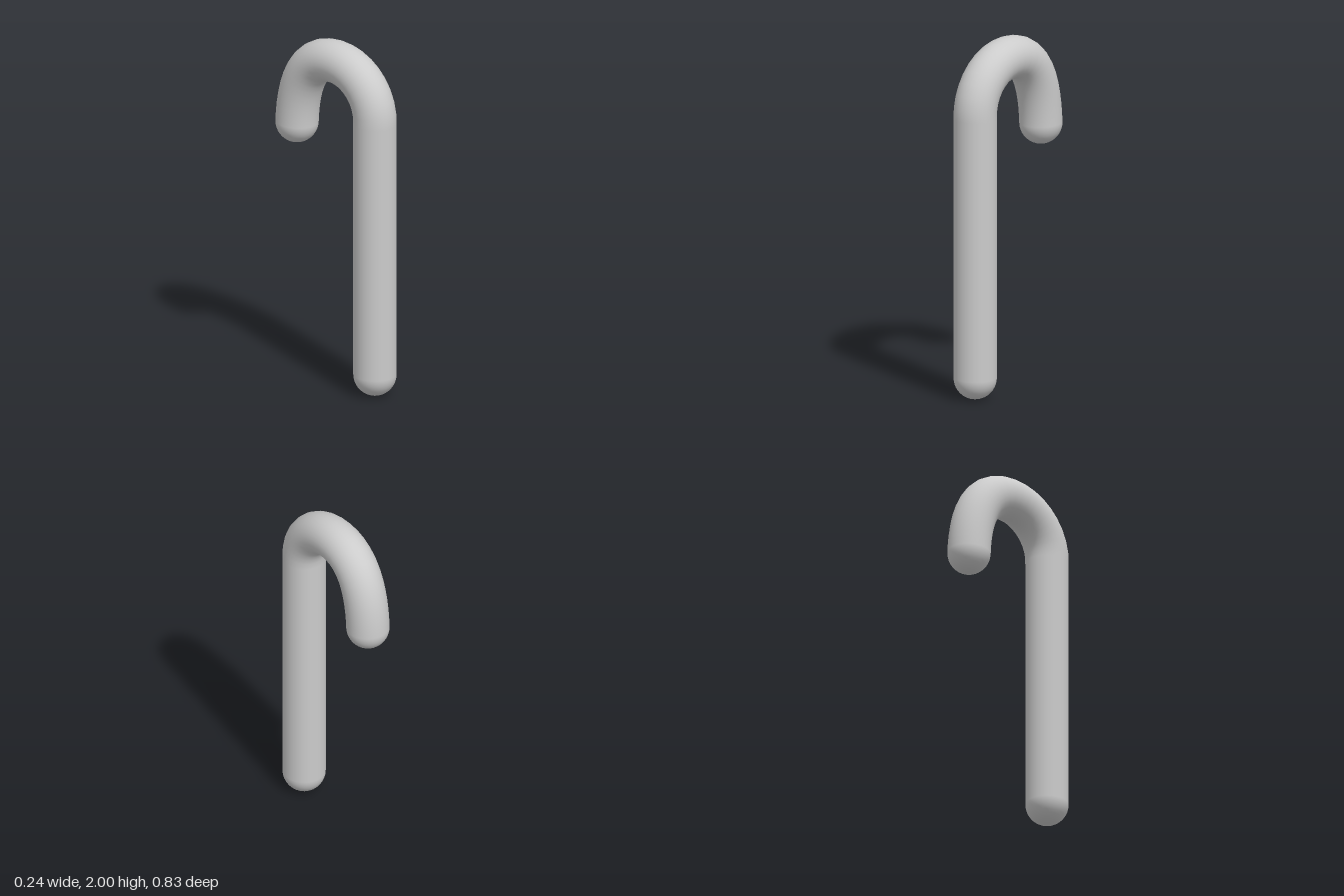
import * as THREE from 'three';

const R = 0.12;      // cane radius
const SIDES = 32;

export function createModel() {
  const group = new THREE.Group();
  group.name = 'cane';
  const material = new THREE.MeshStandardMaterial({ color: 0xcccccc });
  const p = (z, y) => new THREE.Vector3(0, y, z);

  const add = (name, geometry) => {
    const mesh = new THREE.Mesh(geometry, material);
    mesh.name = name;
    group.add(mesh);
    return mesh;
  };

  // Centre line: straight shaft, then a hook bending toward the back
  const path = new THREE.CurvePath();
  path.add(new THREE.LineCurve3(p(0.298, R), p(0.298, 1.6)));
  path.add(new THREE.CubicBezierCurve3(p(0.298, 1.6), p(0.298, 1.755), p(0.165, 1.88), p(0, 1.88)));
  path.add(new THREE.CubicBezierCurve3(p(0, 1.88), p(-0.18, 1.88), p(-0.283, 1.74), p(-0.296, 1.46)));
  add('shaftAndHook', new THREE.TubeGeometry(path, 48, R, SIDES, false));

  // Rounded ends, each facing outward along the centre line
  const up = new THREE.Vector3(0, 1, 0);
  const addCap = (name, t, sign) => {
    const cap = add(name, new THREE.SphereGeometry(R, SIDES, 10, 0, Math.PI * 2, 0, Math.PI / 2));
    cap.position.copy(path.getPointAt(t));
    cap.quaternion.setFromUnitVectors(up, path.getTangentAt(t).multiplyScalar(sign));
  };
  addCap('footCap', 0, -1);
  addCap('hookTipCap', 1, 1);

  return group;
}
